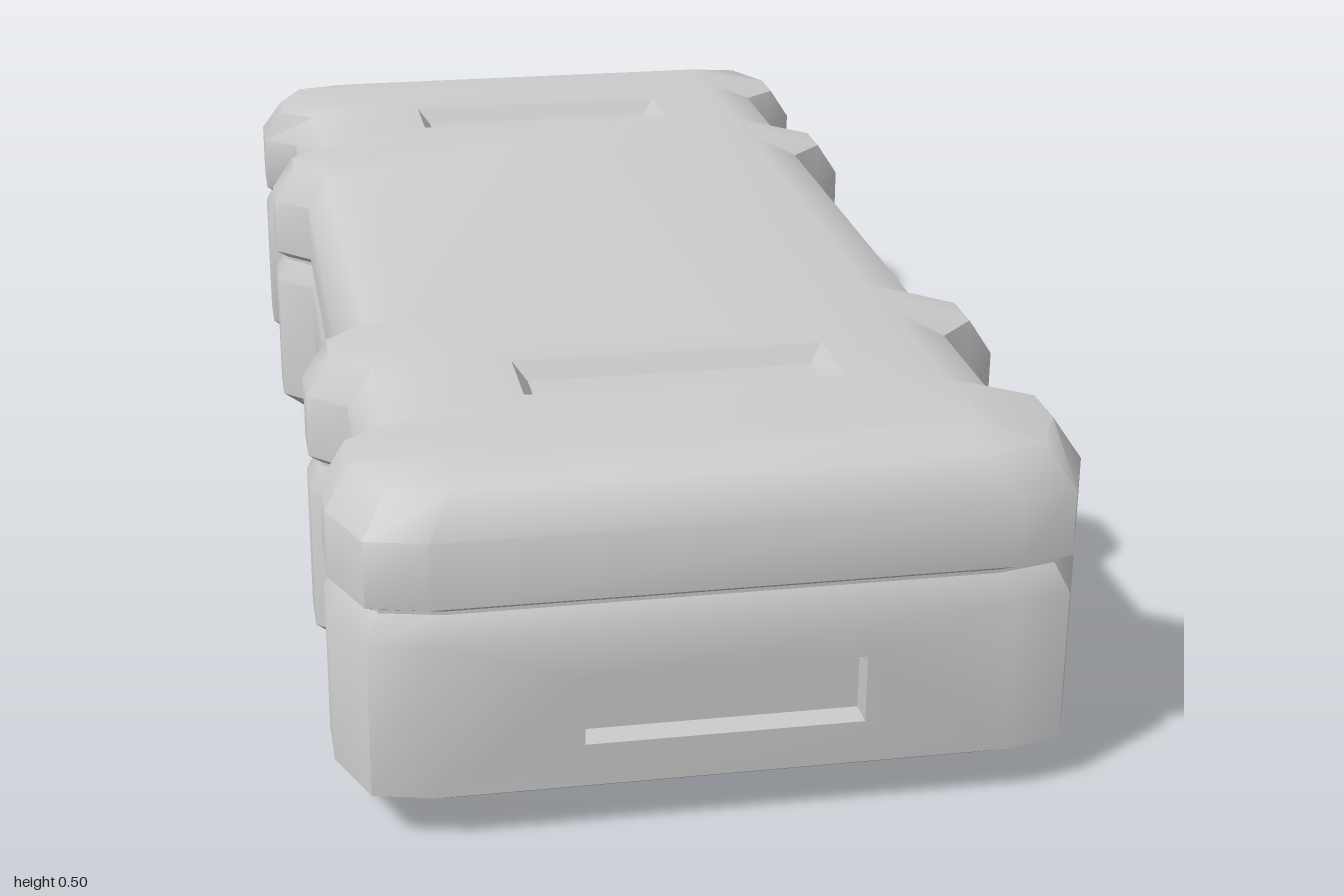
import * as THREE from 'three';
import { mergeGeometries, toCreasedNormals } from 'three/addons/utils/BufferGeometryUtils.js';

// Quarter of the footprint (x, z), from the front edge round to the waist
const QUARTER = [
  [0.38, 1], [0.46, 0.98], [0.5, 0.88], [0.5, 0.79], [0.445, 0.74],
  [0.445, 0.545], [0.5, 0.49], [0.5, 0.415], [0.445, 0.36],
];
const flip = (sx, sz) => QUARTER.map(([x, z]) => [x * sx, z * sz]);
const OUTLINE = [
  ...flip(1, 1), ...flip(1, -1).reverse(), ...flip(-1, -1), ...flip(-1, 1).reverse(),
];

// Footprint at one height: moved in by ix and iz, bumps flattened by keep
function ring([y, ix, iz, keep = 1]) {
  return OUTLINE.map(([x, z]) => {
    const ax = 0.5 - ix - (0.5 - Math.abs(x)) * keep;
    const az = Math.abs(z);
    const fade = Math.max(0, (az - 0.74) / 0.26);
    return [Math.sign(x) * ax, y, Math.sign(z) * (az - iz * fade)];
  });
}

function fromQuads(quads) {
  const pos = quads.flatMap(([a, b, c, d]) => [a, b, c, a, c, d].flat());
  const g = new THREE.BufferGeometry();
  g.setAttribute('position', new THREE.Float32BufferAttribute(pos, 3));
  return g;
}

// Walls between successive rings; the long flat spans of handleRow stay open
function loft(rows, handleRow = -1) {
  const rings = rows.map(ring);
  const quads = [];
  for (let r = 0; r < rings.length - 1; r++) {
    OUTLINE.forEach((_, i) => {
      if (r === handleRow && i % 9 === 8) return;
      const j = (i + 1) % OUTLINE.length;
      quads.push([rings[r][i], rings[r][j], rings[r + 1][j], rings[r + 1][i]]);
    });
  }
  return fromQuads(quads);
}

const rect = (x, y, w, h, z = 0) => [
  [x - w, y - h, z], [x + w, y - h, z], [x + w, y + h, z], [x - w, y + h, z],
];

// Flat panel facing +z with pressed pockets (depth < 0) or pads (depth > 0)
function panel(points, features) {
  const shape = new THREE.Shape(points.map(([x, y]) => new THREE.Vector2(x, y)));
  const quads = [];
  for (const { x, y, rim, floor, depth } of features) {
    const outer = rect(x, y, ...rim);
    const inner = rect(x, y, ...floor, depth);
    shape.holes.push(new THREE.Path(outer.map(([u, v]) => new THREE.Vector2(u, v)).reverse()));
    for (let i = 0; i < 4; i++) {
      const j = (i + 1) % 4;
      quads.push([outer[i], outer[j], inner[j], inner[i]]);
    }
    quads.push(inner);
  }
  const face = new THREE.ShapeGeometry(shape).toNonIndexed();
  face.deleteAttribute('uv');
  face.deleteAttribute('normal');
  return mergeGeometries([face, fromQuads(quads)]);
}

// Wall panel with a handle pocket, turned to face one side
function handlePanel(halfWidth, pocketHalf, distance, angle) {
  const size = [pocketHalf, 0.0475];
  return panel(rect(0, 0.1775, halfWidth, 0.1075), [
    { x: 0, y: 0.1775, rim: size, floor: size, depth: -0.04 },
  ]).translate(0, 0, distance).rotateY(angle);
}

export function createModel() {
  const group = new THREE.Group();
  const material = new THREE.MeshStandardMaterial({ color: 0xcccccc });
  const add = (name, parts) => {
    const mesh = new THREE.Mesh(toCreasedNormals(mergeGeometries(parts), 0.75), material);
    mesh.name = name;
    group.add(mesh);
  };

  // Lower case: chamfered bottom, walls, groove, stacking feet and handle pockets
  const baseRows = [
    [0.03, 0.17, 0.1, 0.2], [0.045, 0.035, 0.04], [0.07, 0, 0],
    [0.285, 0, 0], [0.322, 0.018, 0.018],
  ];
  const underside = panel(
    ring(baseRows[0]).map(([x, , z]) => [x, z]).reverse(),
    [-1, 1].map((s) => ({ x: 0, y: s * 0.64, rim: [0.25, 0.13], floor: [0.21, 0.045], depth: 0.03 })),
  ).rotateX(Math.PI / 2).translate(0, 0.03, 0);
  const handles = [0, 1, 2, 3].map((i) => (i % 2
    ? handlePanel(0.36, 0.21, 0.445, i * Math.PI / 2)
    : handlePanel(0.38, 0.185, 1, i * Math.PI / 2)));
  add('lowerCase', [loft(baseRows, 2), underside, ...handles]);

  // Lid: groove lip, walls, rounded shoulder and sockets for stacked feet
  const lidRows = [
    [0.322, 0.018, 0.018], [0.327, 0.018, 0.018], [0.338, 0, 0],
    [0.43, 0, 0], [0.483, 0.035, 0.04], [0.5, 0.14, 0.1, 0.2],
  ];
  const top = panel(
    ring(lidRows[5]).map(([x, , z]) => [x, -z]),
    [-1, 1].map((s) => ({ x: 0, y: s * 0.645, rim: [0.22, 0.063], floor: [0.2, 0.045], depth: -0.025 })),
  ).rotateX(-Math.PI / 2).translate(0, 0.5, 0);
  add('lid', [loft(lidRows), top]);

  return group;
}
